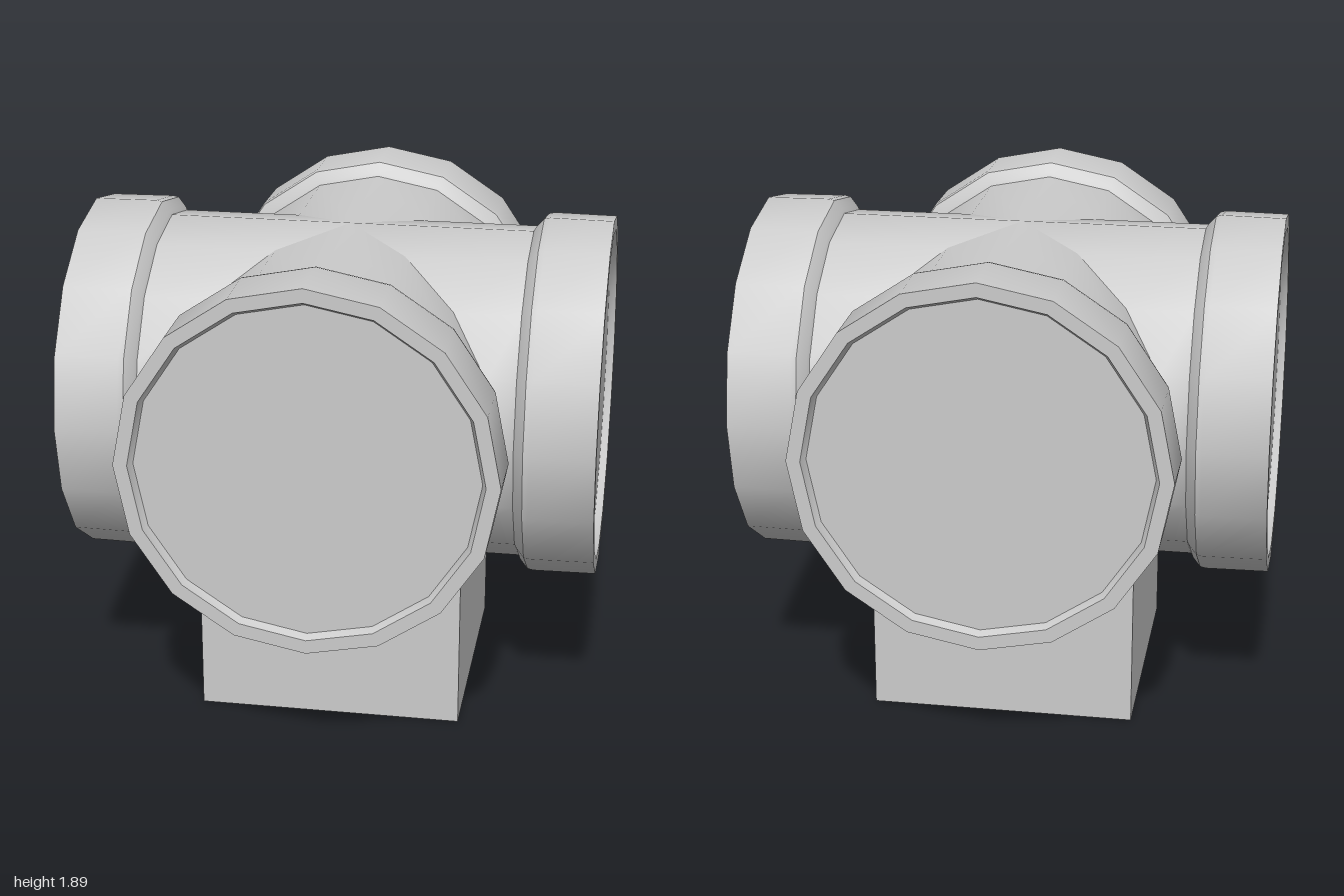
import * as THREE from 'three';
import { toCreasedNormals } from 'three/addons/utils/BufferGeometryUtils.js';

const AXIS_Y = 1.2; // height of the pipe centre lines
const SIDES = 16;

// One arm along +z, its inner end mitred against the neighbouring arms
function armGeometry() {
  const profile = [
    [0.64, 0],                    // mitred inner end
    [0.64, 0.7],                  // pipe wall
    [0.655, 0.708], [0.69, 0.738], // collar shoulder
    [0.695, 0.76], [0.692, 1],    // collar wall
    [0.64, 1], [0.625, 0.97],     // rim and bevelled lip
    [0, 0.97],                    // recessed end face
  ].map(([r, y]) => new THREE.Vector2(r, y));
  const geometry = new THREE.LatheGeometry(profile, SIDES).rotateX(Math.PI / 2);
  const pos = geometry.attributes.position;
  for (let i = 0; i < pos.count; i++) {
    if (Math.abs(pos.getX(i)) < 1e-6) pos.setX(i, 0);
    // only the first ring lies this far in
    if (pos.getZ(i) < 0.5) pos.setZ(i, Math.abs(pos.getX(i)));
  }
  return toCreasedNormals(geometry, 0.6);
}

export function createModel() {
  const model = new THREE.Group();
  model.name = 'pipeCross';
  const material = new THREE.MeshStandardMaterial({ color: 0xcccccc });

  // Four identical arms meeting in a cross
  const geometry = armGeometry();
  ['frontArm', 'leftArm', 'backArm', 'rightArm'].forEach((name, i) => {
    const arm = new THREE.Mesh(geometry, material);
    arm.name = name;
    arm.position.y = AXIS_Y;
    arm.rotation.y = i * Math.PI / 2;
    model.add(arm);
  });

  // Square post carrying the cross
  const height = 0.8;
  const post = new THREE.Mesh(new THREE.BoxGeometry(1.01, height, 1.01), material);
  post.name = 'post';
  post.position.y = height / 2;
  model.add(post);

  return model;
}
